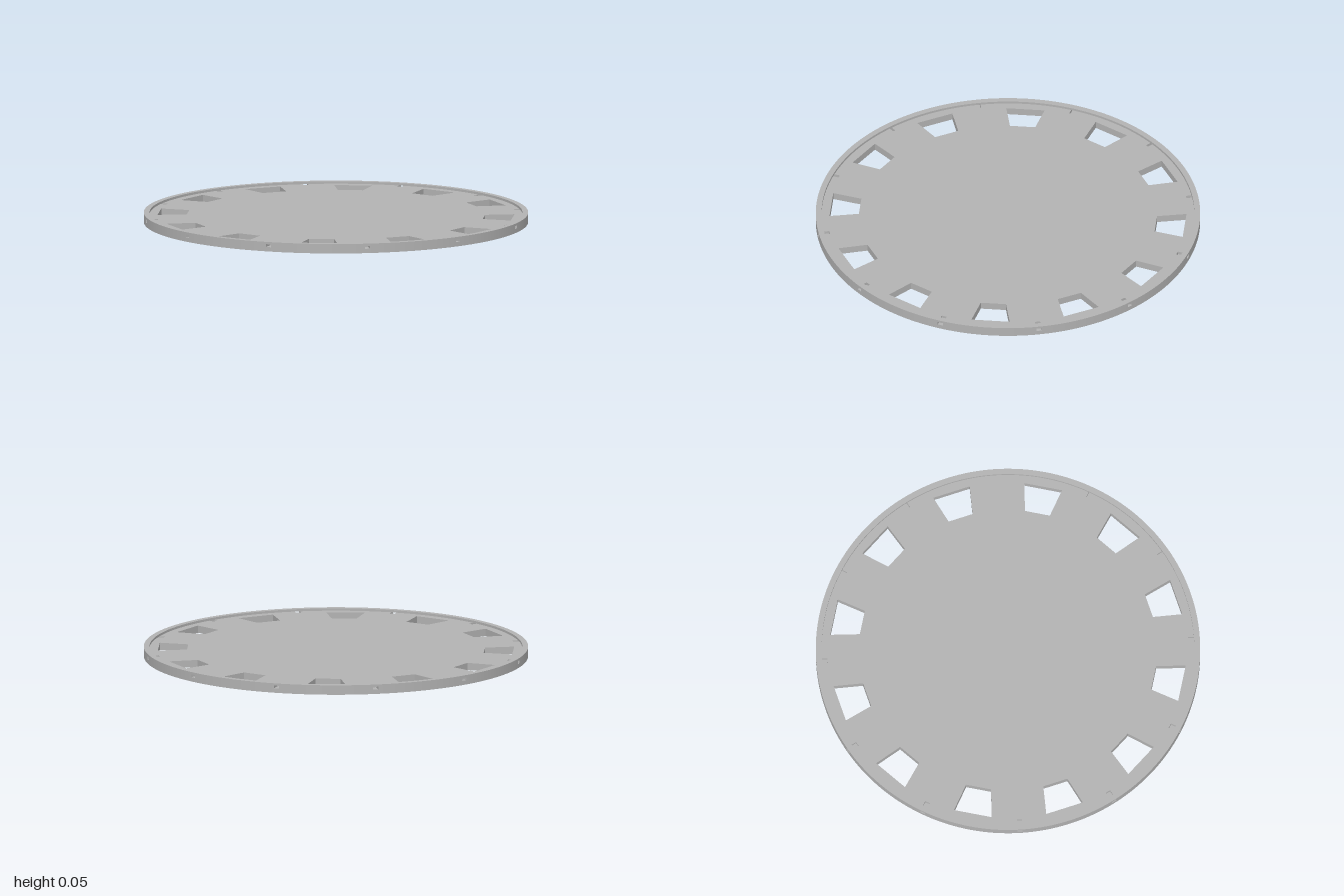
import * as THREE from 'three';
import { mergeGeometries } from 'three/addons/utils/BufferGeometryUtils.js';

const COUNT = 12, STEP = Math.PI * 2 / COUNT;
const TOP = 0.05, FLOOR = 0.038, RECESS = 0.03, SLOT = 0.023; // heights
const R = 1, LIP = 0.97, NOTCH = 0.94, HUB = 0.724;           // radii
const A = 0.014;                                              // half angle of a slot
const ARC = 16;                                               // segments between slots

const polar = (r, a) => [r * Math.sin(a), r * Math.cos(a)];

// Surface swept between two (radius, height) points over part of a turn
const sweep = (r0, y0, r1, y1, start, length, n) =>
  new THREE.LatheGeometry([new THREE.Vector2(r0, y0), new THREE.Vector2(r1, y1)], n, start, length);

// Full turn, segmented to line up with the slots
function ring(r0, y0, r1, y1) {
  const parts = [];
  for (let i = 0; i < COUNT; i++) {
    parts.push(sweep(r0, y0, r1, y1, i * STEP - A, 2 * A, 1));
    parts.push(sweep(r0, y0, r1, y1, i * STEP + A, STEP - 2 * A, ARC));
  }
  return mergeGeometries(parts);
}

// Upright wall from p (left) to q (right)
function wall(p, q, y0, y1) {
  const g = new THREE.PlaneGeometry(1, 1);
  [[p, y1], [q, y1], [p, y0], [q, y0]].forEach(([c, y], i) => g.attributes.position.setXYZ(i, c[0], y, c[1]));
  g.computeVertexNormals();
  return g;
}

// Corners of one tapered window
function windowCorners(i) {
  const a = (i + 0.5) * STEP, s = Math.sin(a), c = Math.cos(a);
  return [[0.1, 0.923], [-0.1, 0.923], [-0.066, 0.773], [0.066, 0.773]]
    .map(([t, r]) => [t * c + r * s, r * c - t * s]);
}

// Outline at radius r, stepping in to the notch radius at each slot
function outline(r, notch) {
  const pts = [];
  for (let i = 0; i < COUNT; i++) {
    if (notch < r) pts.push(polar(notch, i * STEP - A), polar(notch, i * STEP + A));
    for (let k = 0; k <= ARC; k++) pts.push(polar(r, i * STEP + A + (STEP - 2 * A) * k / ARC));
  }
  return pts;
}

// Flat plate pierced by the windows
function plate(edge, holes, y, up) {
  const sign = up ? -1 : 1;
  const to2 = ([x, z]) => new THREE.Vector2(x, sign * z);
  const shape = new THREE.Shape(edge.map(to2));
  shape.holes = holes.map(h => new THREE.Path(h.map(to2)));
  return new THREE.ShapeGeometry(shape).rotateX(sign * Math.PI / 2).translate(0, y, 0);
}

export function createModel() {
  const group = new THREE.Group();
  const grey = new THREE.MeshStandardMaterial({ color: 0xb2b2b2 });
  grey.name = 'plain grey';
  const add = (name, parts) => {
    const mesh = new THREE.Mesh(mergeGeometries(parts), grey);
    mesh.name = name;
    group.add(mesh);
  };
  const windows = Array.from({ length: COUNT }, (_, i) => windowCorners(i));

  add('floor', [plate(outline(LIP, NOTCH), windows, FLOOR, true)]);
  add('underside', [plate(outline(R, R), [...windows, outline(HUB, HUB)], 0, false)]);
  add('undersideRecess', [ring(HUB, RECESS, HUB, 0), ring(0, RECESS, HUB, RECESS)]);
  add('windowWalls', windows.flatMap(w => w.map((p, k) => wall(p, w[(k + 1) % 4], 0, FLOOR))));

  // Raised rim and its outer wall, left open at the slots
  const rim = [ring(R, TOP, LIP, TOP), ring(LIP, TOP, LIP, FLOOR), ring(R, 0, R, SLOT), ring(R, FLOOR, R, TOP)];
  for (let i = 0; i < COUNT; i++) rim.push(sweep(R, SLOT, R, FLOOR, i * STEP + A, STEP - 2 * A, ARC));
  add('rim', rim);

  // Small slots running through the rim into the floor
  const slots = [];
  for (let i = 0; i < COUNT; i++) {
    const a0 = i * STEP - A, a1 = i * STEP + A;
    slots.push(
      sweep(R, SLOT, NOTCH, SLOT, a0, 2 * A, 1),
      sweep(LIP, FLOOR, R, FLOOR, a0, 2 * A, 1),
      sweep(NOTCH, SLOT, NOTCH, FLOOR, a0, 2 * A, 1),
      wall(polar(R, a0), polar(NOTCH, a0), SLOT, FLOOR),
      wall(polar(NOTCH, a1), polar(R, a1), SLOT, FLOOR));
  }
  add('rimSlots', slots);
  return group;
}
